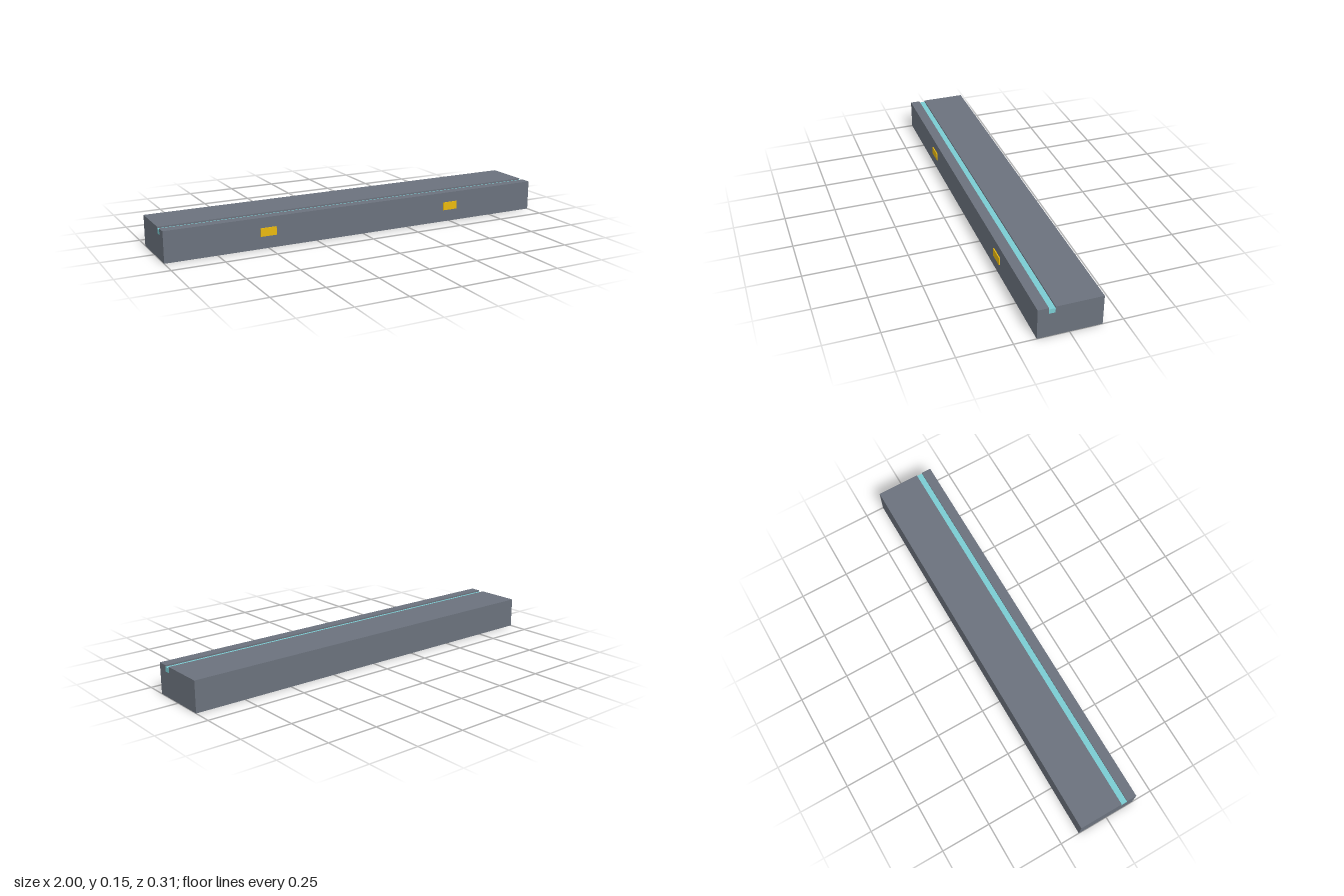
import * as THREE from 'three';

const LENGTH = 2;
const HEIGHT = 0.15;
const BACK = -0.1525, FRONT = 0.1475;
const SLOT_BACK = 0.0675, SLOT_FRONT = 0.0975, SLOT_FLOOR = 0.12;

function addPart(parent, name, geometry, color) {
  const mesh = new THREE.Mesh(geometry, new THREE.MeshStandardMaterial({ color }));
  mesh.name = name;
  parent.add(mesh);
  return mesh;
}

export function createModel() {
  const model = new THREE.Group();
  model.name = 'slottedBar';

  // Bar: (z, y) cross-section with a groove in the top, run along x
  const section = new THREE.Shape([
    [BACK, 0], [FRONT, 0], [FRONT, HEIGHT],
    [SLOT_FRONT, HEIGHT], [SLOT_FRONT, SLOT_FLOOR],
    [SLOT_BACK, SLOT_FLOOR], [SLOT_BACK, HEIGHT], [BACK, HEIGHT],
  ].map(([z, y]) => new THREE.Vector2(z, y)));
  const bar = new THREE.ExtrudeGeometry(section, { depth: LENGTH, bevelEnabled: false });
  bar.translate(0, 0, -LENGTH / 2).rotateY(-Math.PI / 2);
  addPart(model, 'bar', bar, 0x6b727d);

  // Strip lying in the groove, slightly below the top
  const stripHeight = 0.0225;
  addPart(model, 'grooveStrip',
    new THREE.BoxGeometry(LENGTH, stripHeight, SLOT_FRONT - SLOT_BACK), 0x7accd2)
    .position.set(0, SLOT_FLOOR + stripHeight / 2, (SLOT_BACK + SLOT_FRONT) / 2);

  // Two thin plates on the front face
  for (const [name, side] of [['leftFrontPlate', 1], ['rightFrontPlate', -1]]) {
    addPart(model, name, new THREE.BoxGeometry(0.08, 0.04, 0.01), 0xeab90f)
      .position.set(side * 0.5, 0.08, FRONT);
  }

  return model;
}
